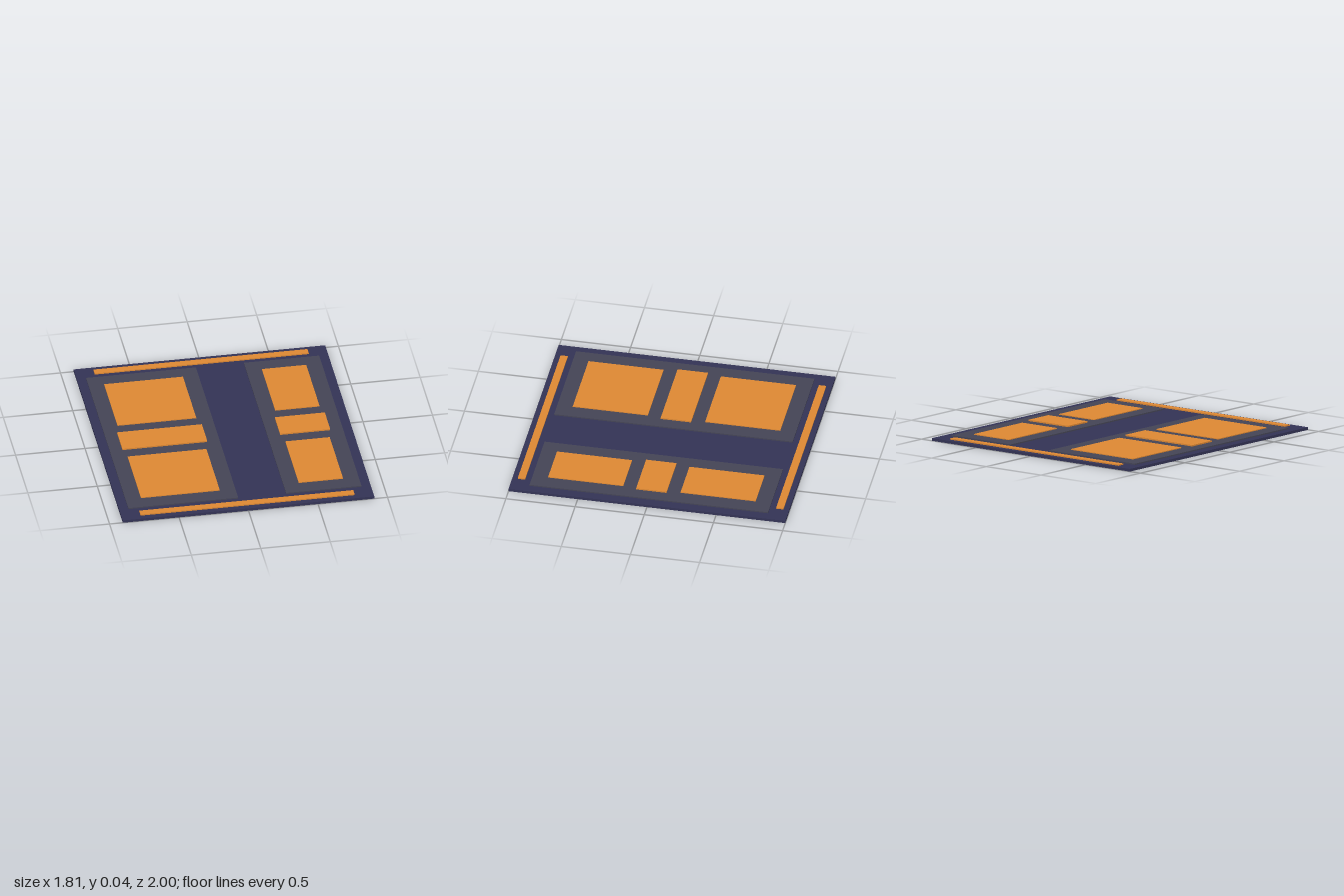
import * as THREE from 'three';

const NAVY = new THREE.MeshStandardMaterial({ color: 0x333355 });
const SLATE = new THREE.MeshStandardMaterial({ color: 0x444455 });
const ORANGE = new THREE.MeshStandardMaterial({ color: 0xdd8833 });

// Box given by its extents on each axis
function slab(name, material, [x0, x1], [y0, y1], [z0, z1]) {
  const mesh = new THREE.Mesh(new THREE.BoxGeometry(x1 - x0, y1 - y0, z1 - z0), material);
  mesh.position.set((x0 + x1) / 2, (y0 + y1) / 2, (z0 + z1) / 2);
  mesh.name = name;
  return mesh;
}

export function createModel() {
  const model = new THREE.Group();
  model.name = 'floorPlate';

  // Base plate
  model.add(slab('basePlate', NAVY, [-0.905, 0.905], [0, 0.019], [-1, 1]));

  // Raised panels, each with two large pads and a taller middle pad
  const panels = [
    { side: 'right', panel: [-0.84, -0.05], pad: [-0.73, -0.163], middle: [-0.75, -0.14] },
    { side: 'left', panel: [0.295, 0.837], pad: [0.405, 0.724], middle: [0.385, 0.745] },
  ];
  for (const { side, panel, pad, middle } of panels) {
    const group = new THREE.Group();
    group.name = `${side}Panel`;
    group.add(
      slab('panel', SLATE, panel, [0.019, 0.028], [-0.862, 0.862]),
      slab('backPad', ORANGE, pad, [0.028, 0.034], [-0.75, -0.207]),
      slab('frontPad', ORANGE, pad, [0.028, 0.034], [0.207, 0.75]),
      slab('middlePad', ORANGE, middle, [0.028, 0.038], [-0.11, 0.11]),
    );
    model.add(group);
  }

  // Edge strips
  model.add(
    slab('backStrip', ORANGE, [-0.77, 0.77], [0.019, 0.028], [-0.96, -0.907]),
    slab('frontStrip', ORANGE, [-0.77, 0.77], [0.019, 0.028], [0.907, 0.96]),
  );
  return model;
}
